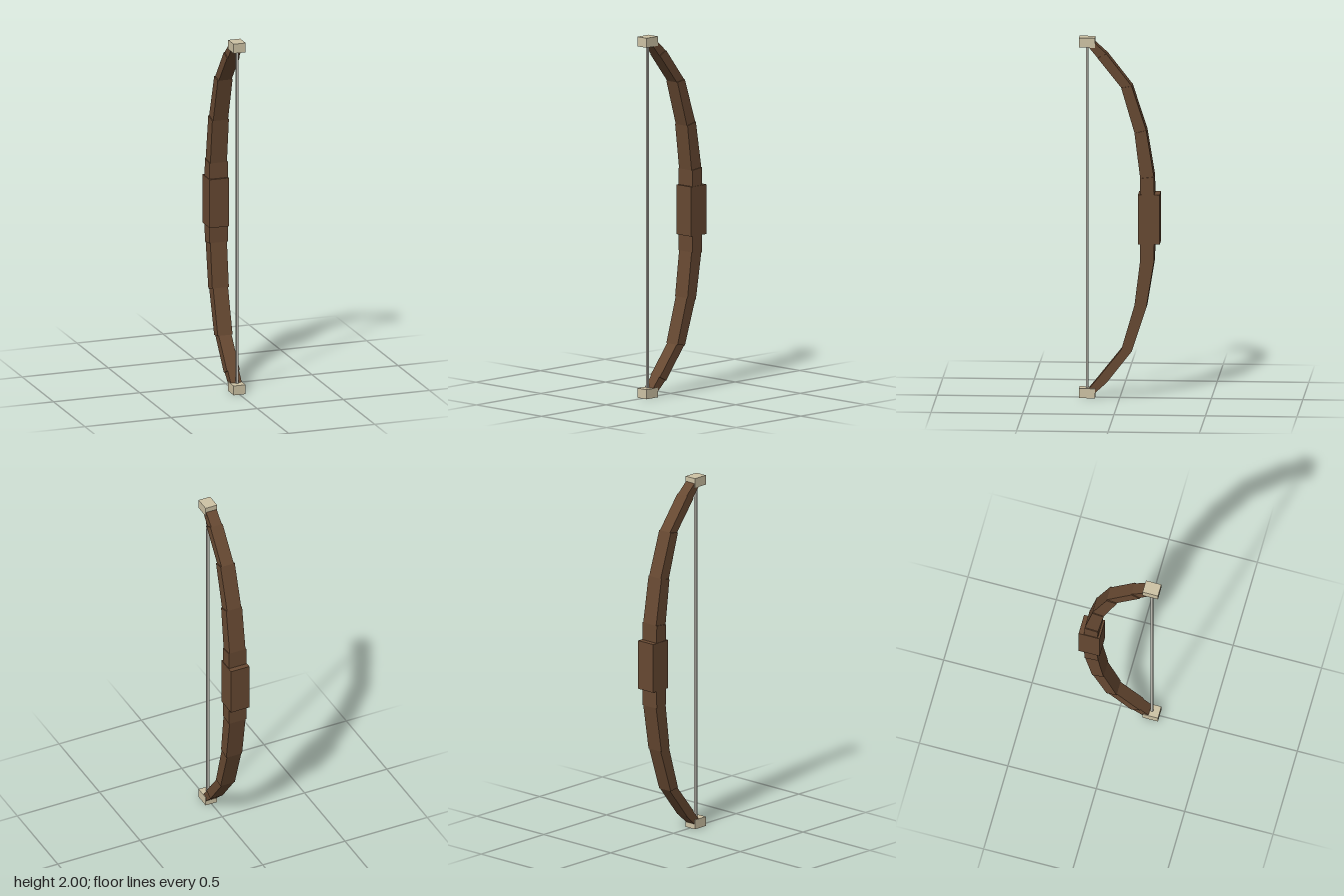
import * as THREE from 'three';

export function createModel() {
  const bow = new THREE.Group();
  bow.name = 'bow';

  const material = (name, color) => {
    const m = new THREE.MeshStandardMaterial({ color });
    m.name = name;
    return m;
  };
  const wood = material('brown wood', 0x674932);
  const bone = material('pale bone', 0xcec3a5);
  const cord = material('light grey cord', 0xc0beb4);

  const add = (name, geometry, mat, x, y, z) => {
    const mesh = new THREE.Mesh(geometry, mat);
    mesh.name = name;
    mesh.position.set(x, y, z);
    bow.add(mesh);
  };

  // One limb segment: a four-cornered side profile of [height, z], extruded across its width
  const limbSegment = (corners, side, width) => {
    const shape = new THREE.Shape(corners.map(([h, z]) => new THREE.Vector2(-z, side * h)));
    return new THREE.ExtrudeGeometry(shape, { depth: width, bevelEnabled: false })
      .translate(0, 0, -width / 2)
      .rotateY(Math.PI / 2);
  };

  // Grip
  add('grip', new THREE.BoxGeometry(0.112, 0.275, 0.119), wood, 0, 1, -0.162);

  // Back and belly of the limb as [height above the middle, z], meeting at mitred joints
  const back = [[0, -0.194], [0.236, -0.189], [0.493, -0.147], [0.737, -0.067], [0.914, 0.071], [0.988, 0.153]];
  const belly = [[0, -0.115], [0.227, -0.114], [0.477, -0.083], [0.727, -0.01], [0.89, 0.12], [0.963, 0.18]];
  const widths = [0.106, 0.096, 0.086, 0.074, 0.064];

  for (const side of [1, -1]) {
    const prefix = side > 0 ? 'upper' : 'lower';
    widths.forEach((width, i) => {
      const corners = [back[i], back[i + 1], belly[i + 1], belly[i]];
      add(`${prefix}Limb${i + 1}`, limbSegment(corners, side, width), wood, 0, 1, 0);
    });

    // Tip block holding the string
    add(`${prefix}Tip`, new THREE.BoxGeometry(0.07, 0.053, 0.087), bone, 0, 1 + side * 0.9735, 0.178);
  }

  // Square string between the tips
  add('string', new THREE.BoxGeometry(0.013, 1.92, 0.013), cord, 0, 1, 0.179);

  return bow;
}
